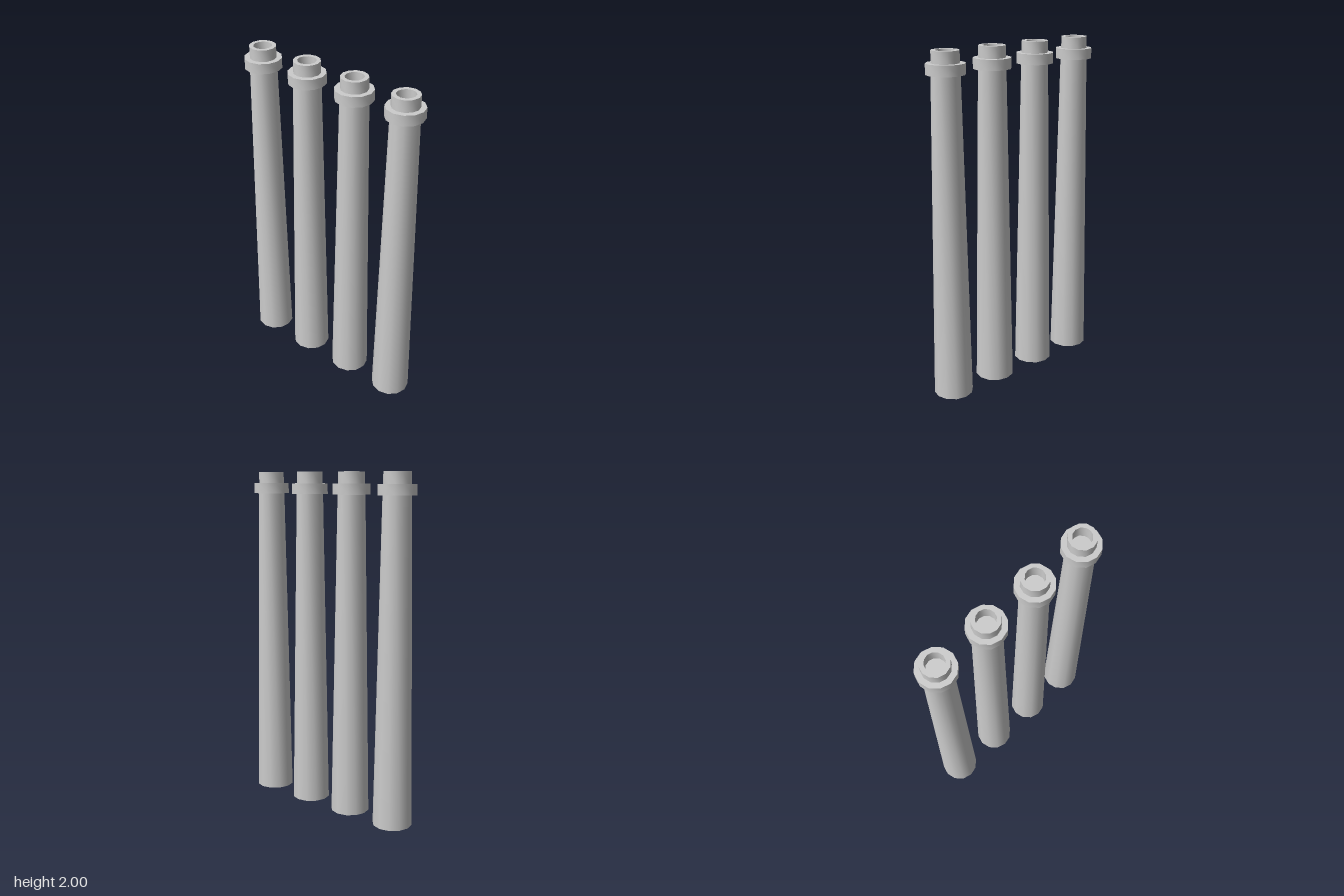
import * as THREE from 'three';
import { toCreasedNormals } from 'three/addons/utils/BufferGeometryUtils.js';

const SIDES = 12;
const material = new THREE.MeshStandardMaterial({ color: 0xcccccc, side: THREE.DoubleSide });

// Revolve a [radius, y] profile: round sides stay smooth, rims stay sharp
function turned(name, profile) {
  const points = profile.map(([r, y]) => new THREE.Vector2(r, y));
  const geometry = toCreasedNormals(new THREE.LatheGeometry(points, SIDES), 0.7);
  const mesh = new THREE.Mesh(geometry, material);
  mesh.name = name;
  return mesh;
}

function createChimney() {
  const chimney = new THREE.Group();
  chimney.add(
    // Tapered shaft, open at the foot
    turned('shaft', [[0.114, 0], [0.08, 1.873]]),
    // Projecting band near the top
    turned('collar', [[0.08, 1.873], [0.108, 1.873], [0.108, 1.933], [0.077, 1.933]]),
    // Neck with a recessed flue opening
    turned('neck', [[0.077, 1.933], [0.077, 2], [0.053, 2], [0.053, 1.92], [0, 1.92]])
  );
  return chimney;
}

export function createModel() {
  const model = new THREE.Group();
  model.name = 'chimneyRow';
  // Four chimneys in a row from front to back
  for (let i = 0; i < 4; i++) {
    const chimney = createChimney();
    chimney.name = `chimney${i + 1}`;
    chimney.position.z = (1.5 - i) * 0.324;
    model.add(chimney);
  }
  return model;
}
